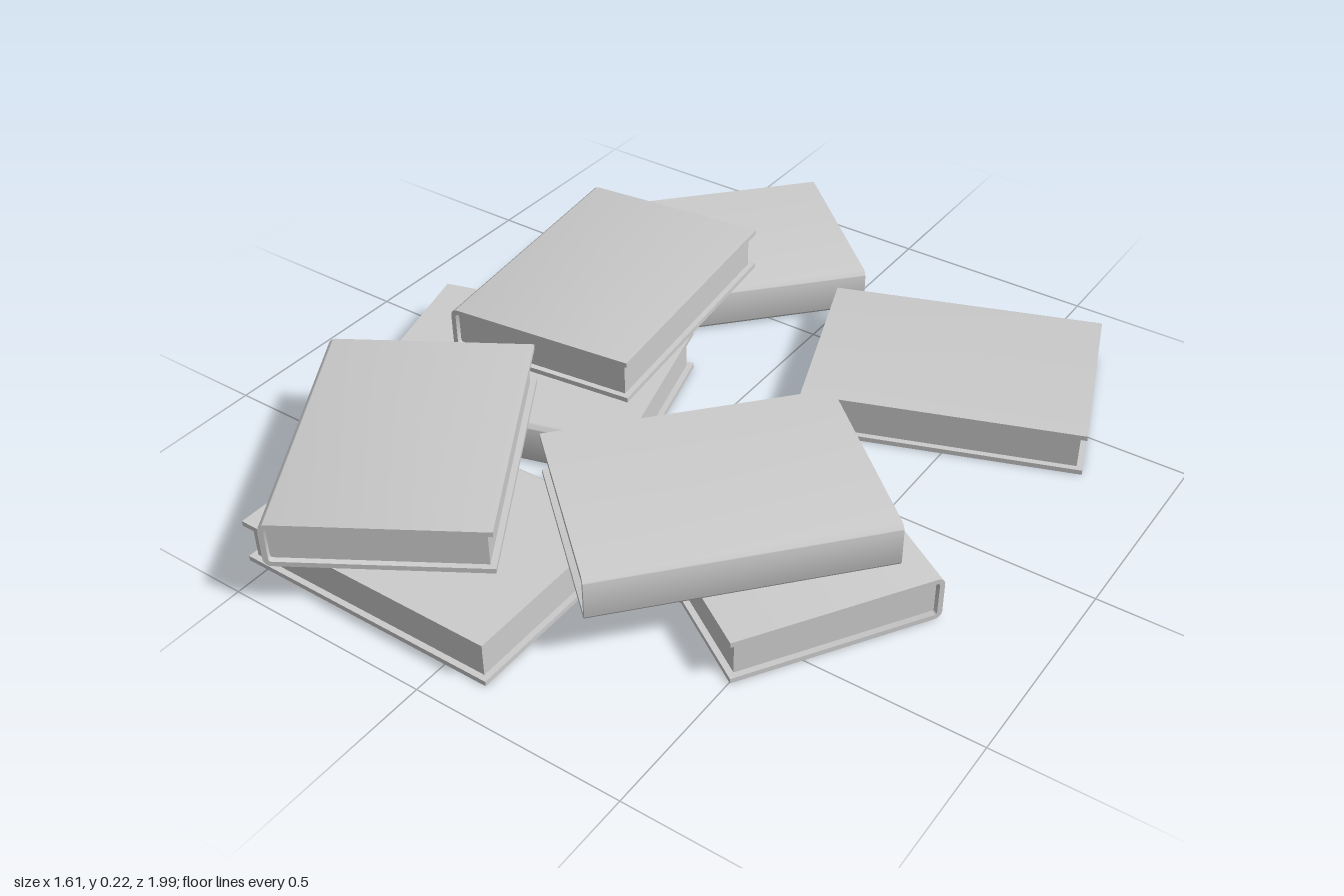
import * as THREE from 'three';
import { toCreasedNormals } from 'three/addons/utils/BufferGeometryUtils.js';

const W = 0.48, L = 0.66, H = 0.11; // closed book: width, length, thickness
const T = 0.012, GAP = 0.014, R = 0.018; // cover thickness, overhang, spine corner radius
const STEP = 0.113; // height of the second layer

const material = new THREE.MeshStandardMaterial({ color: 0xcccccc });

// U-shaped cover section: two boards joined by a spine with rounded corners, at -x
function coverGeometry() {
  const x0 = -W / 2, x1 = W / 2, r = R - T;
  const s = new THREE.Shape();
  s.moveTo(x1, 0);
  s.lineTo(x1, T);
  s.lineTo(x0 + R, T);
  s.absarc(x0 + R, R, r, -Math.PI / 2, -Math.PI, true);
  s.lineTo(x0 + T, H - R);
  s.absarc(x0 + R, H - R, r, Math.PI, Math.PI / 2, true);
  s.lineTo(x1, H - T);
  s.lineTo(x1, H);
  s.lineTo(x0 + R, H);
  s.absarc(x0 + R, H - R, R, Math.PI / 2, Math.PI, false);
  s.lineTo(x0, R);
  s.absarc(x0 + R, R, R, Math.PI, Math.PI * 1.5, false);
  s.closePath();
  const g = new THREE.ExtrudeGeometry(s, { depth: L, bevelEnabled: false, curveSegments: 5 });
  g.translate(0, 0, -L / 2);
  return toCreasedNormals(g, 0.6);
}

// Page block, set back from the three open edges
function pagesGeometry() {
  const w = W - T - GAP;
  const g = new THREE.BoxGeometry(w, H - 2 * T, L - 2 * GAP);
  g.translate((T - GAP) / 2, H / 2, 0);
  return g;
}

// Centre x, z; layer; direction x, z in which the spine faces
const BOOKS = [
  [-0.355, -0.595, 0, 0.35, 0.32],
  [0.41, -0.475, 0, -0.165, -0.45],
  [-0.422, 0.11, 0, 0.13, 0.46],
  [0.352, 0.257, 0, 0.26, -0.41],
  [-0.223, 0.676, 0, 0, -1],
  [-0.402, -0.18, 1, -0.48, 0.055],
  [0.272, 0.346, 1, 0.36, 0.318],
  [-0.378, 0.585, 1, -0.41, 0.252],
];

export function createModel() {
  const model = new THREE.Group();
  model.name = 'bookPile';
  const cover = coverGeometry();
  const pages = pagesGeometry();

  BOOKS.forEach(([x, z, layer, sx, sz], i) => {
    const book = new THREE.Group();
    book.name = `book${i + 1}`;
    for (const [name, geometry] of [['cover', cover], ['pages', pages]]) {
      const mesh = new THREE.Mesh(geometry, material);
      mesh.name = name;
      book.add(mesh);
    }
    book.position.set(x, layer * STEP, z);
    book.rotation.y = Math.atan2(sz, -sx);
    model.add(book);
  });
  return model;
}
